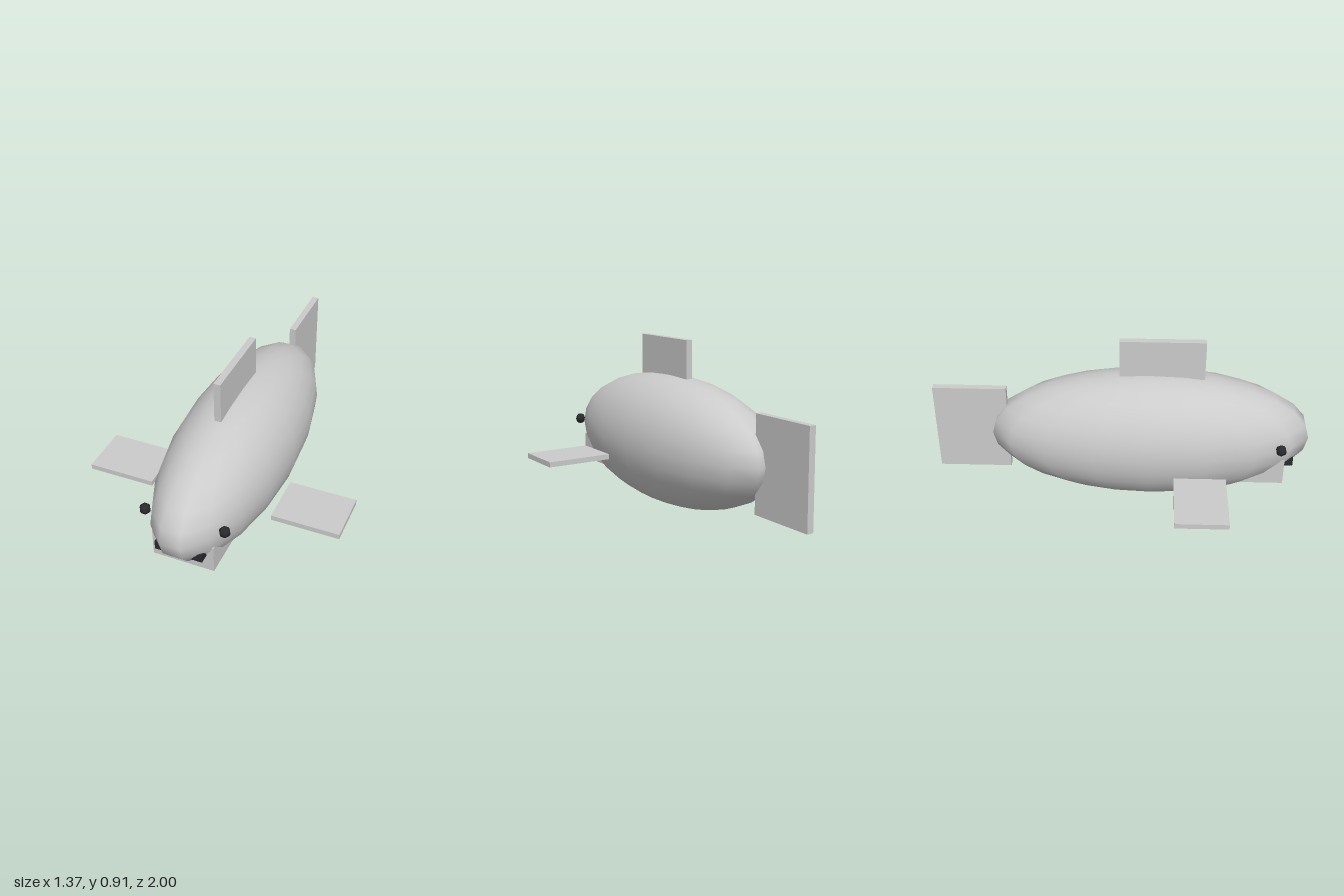
import * as THREE from 'three';

export function createModel() {
  const model = new THREE.Group();
  model.name = 'fish';
  const grey = new THREE.MeshStandardMaterial({ color: 0xcccccc });
  const dark = new THREE.MeshStandardMaterial({ color: 0x2a2a2e });

  function add(name, geometry, material, x, y, z) {
    const mesh = new THREE.Mesh(geometry, material);
    mesh.name = name;
    mesh.position.set(x, y, z);
    model.add(mesh);
    return mesh;
  }

  // Box given by its extents along each axis
  function slab(name, material, [x0, x1], [y0, y1], [z0, z1]) {
    return add(name, new THREE.BoxGeometry(x1 - x0, y1 - y0, z1 - z0), material,
      (x0 + x1) / 2, (y0 + y1) / 2, (z0 + z1) / 2);
  }

  // Long egg-shaped body
  const bodyGeometry = new THREE.SphereGeometry(1, 18, 14);
  bodyGeometry.scale(0.305, 0.355, 0.858);
  add('body', bodyGeometry, grey, 0, 0.36, 0.155);

  // Upright fins
  slab('dorsalFin', grey, [-0.018, 0.018], [0.695, 0.915], [-0.01, 0.435]);
  slab('tailFin', grey, [-0.018, 0.018], [0.11, 0.615], [-1, -0.61]);

  // Jaw block with a dark mouth bar, both sunk into the body
  slab('jaw', grey, [-0.163, 0.163], [0.14, 0.29], [0.6, 0.87]);
  slab('mouth', dark, [-0.125, 0.125], [0.23, 0.278], [0.85, 0.92]);

  // Paired side fins and eyes
  for (const side of [1, -1]) {
    const label = side > 0 ? 'left' : 'right';
    const fin = slab(label + 'SideFin', grey, [0.33, 0.685], [0.26, 0.288], [0.28, 0.55]);
    fin.position.x *= side;
    add(label + 'Eye', new THREE.SphereGeometry(0.029, 6, 10), dark, side * 0.21, 0.39, 0.838);
  }

  return model;
}
